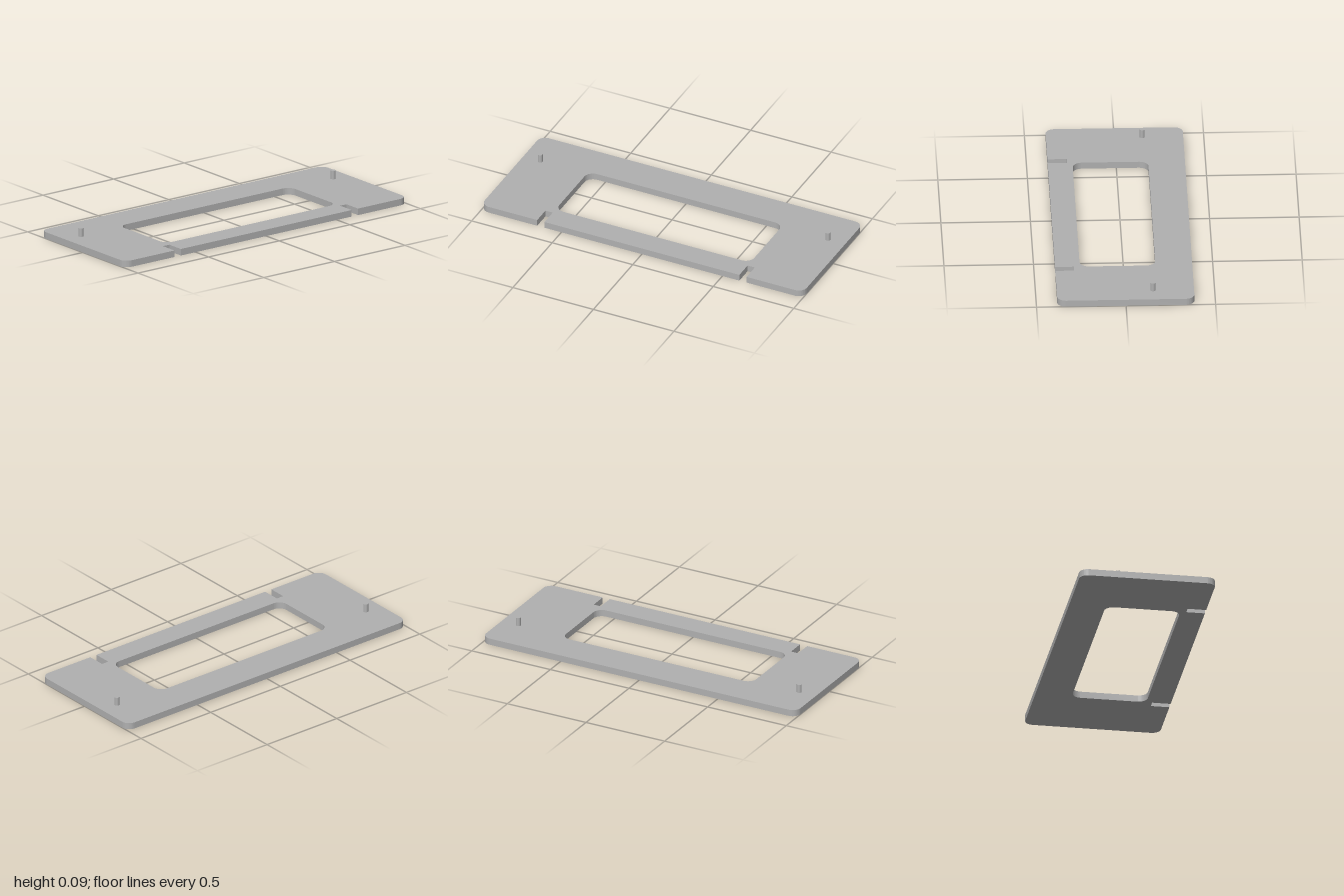
import * as THREE from 'three';
import { toCreasedNormals } from 'three/addons/utils/BufferGeometryUtils.js';

const THICKNESS = 0.038;

// Add a rounded rectangle to a path; slots are [x0, x1] notches cut into its lower edge
function roundedRect(path, x0, x1, y0, y1, r, slots = [], slotTop = 0) {
  const q = Math.PI / 2;
  path.moveTo(x0 + r, y0);
  for (const [a, b] of slots) {
    path.lineTo(a, y0);
    path.lineTo(a, slotTop);
    path.lineTo(b, slotTop);
    path.lineTo(b, y0);
  }
  path.lineTo(x1 - r, y0);
  path.absarc(x1 - r, y0 + r, r, -q, 0, false);
  path.absarc(x1 - r, y1 - r, r, 0, q, false);
  path.absarc(x0 + r, y1 - r, r, q, 2 * q, false);
  path.absarc(x0 + r, y0 + r, r, 2 * q, 3 * q, false);
  return path;
}

export function createModel() {
  const group = new THREE.Group();
  group.name = 'mountingFrame';
  const grey = new THREE.MeshStandardMaterial({ color: 0xb0b0b0 });
  grey.name = 'plain grey';

  // Flat plate with a central window and two slots in the front edge
  const outline = roundedRect(new THREE.Shape(), -1, 1, -0.383, 0.383, 0.05,
    [[-0.65, -0.605], [0.605, 0.65]], -0.278);
  outline.holes.push(roundedRect(new THREE.Path(), -0.605, 0.605, -0.245, 0.178, 0.053));
  const plateGeometry = new THREE.ExtrudeGeometry(outline, {
    depth: THICKNESS, bevelEnabled: false, curveSegments: 10,
  });
  plateGeometry.rotateX(-Math.PI / 2);
  const plate = new THREE.Mesh(toCreasedNormals(plateGeometry, 0.6), grey);
  plate.name = 'plate';
  group.add(plate);

  // Locating pins on either side of the window
  const pinHeight = 0.049;
  const pinGeometry = new THREE.CylinderGeometry(0.014, 0.014, pinHeight, 24);
  for (const side of [-1, 1]) {
    const pin = new THREE.Mesh(pinGeometry, grey);
    pin.name = side > 0 ? 'leftPin' : 'rightPin';
    pin.position.set(side * 0.893, THICKNESS + pinHeight / 2, -0.154);
    group.add(pin);
  }
  return group;
}
